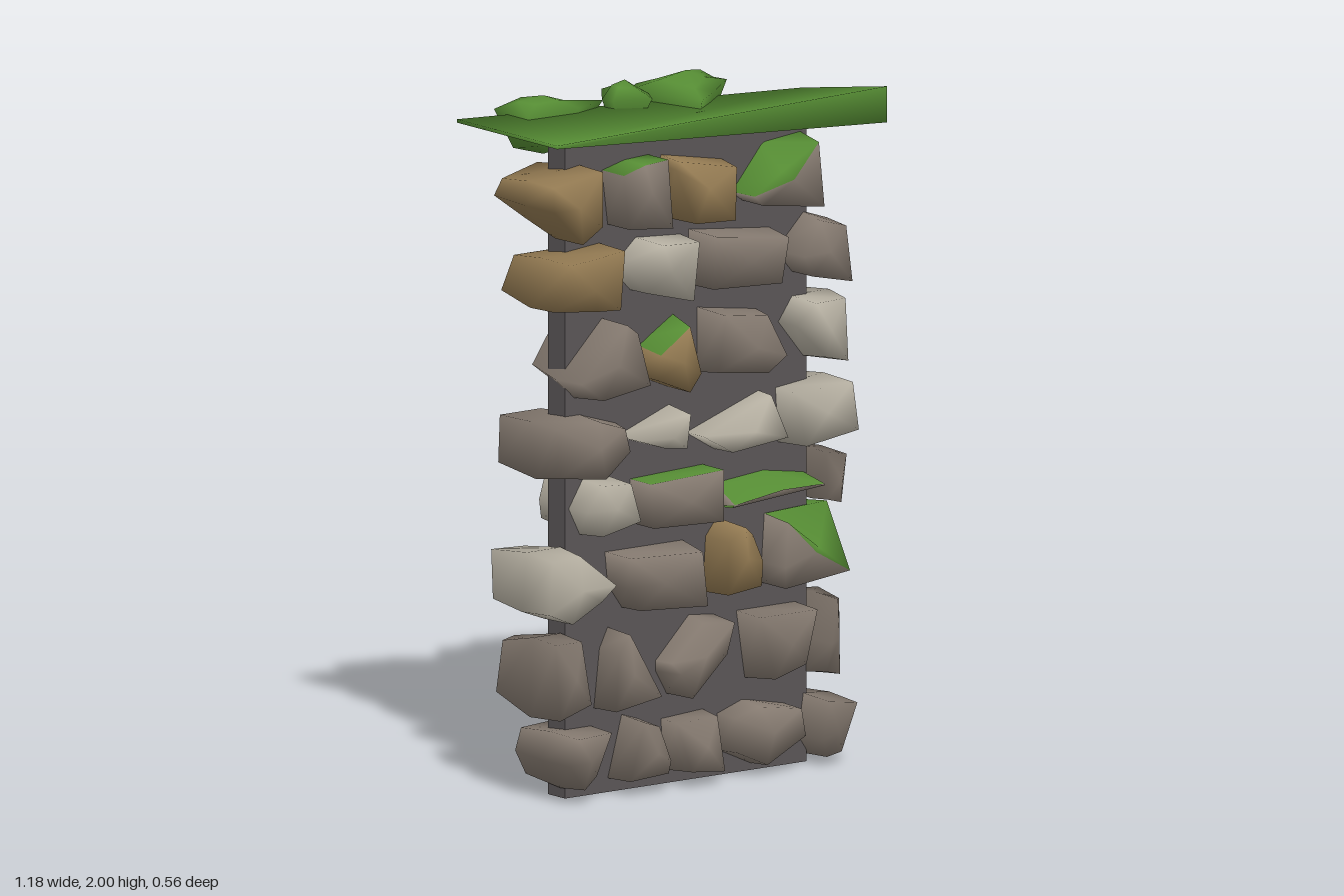
import * as THREE from 'three';
import { mergeVertices } from 'three/addons/utils/BufferGeometryUtils.js';

const mat = (name, color) => {
  const m = new THREE.MeshStandardMaterial({ color });
  m.name = name;
  return m;
};

export function createModel() {
  const group = new THREE.Group();
  const grey = mat('greyStone', 0x857a70);
  const light = mat('lightStone', 0xb5afa1);
  const brown = mat('brownStone', 0x937a52);
  const moss = mat('moss', 0x568d34);
  const mortar = mat('mortar', 0x5b5657);

  let seed = 7;
  const rand = () => (seed = (seed * 16807) % 2147483647) / 2147483647;
  const add = (geometry, material, name) => {
    const mesh = new THREE.Mesh(geometry, material);
    mesh.name = name;
    group.add(mesh);
    return mesh;
  };

  // Smooth rock lofted through three rings: jittered back, full middle, front
  function rockGeometry(flat, { depths = [-0.07, 0.1, 0.21], shrink = [0.76, 0.92], jitter = [0.24, 0.14], wobble = 0.07, front } = {}) {
    const toPoints = (a) => {
      const pts = [];
      for (let i = 0; i < a.length; i += 2) pts.push(new THREE.Vector2(a[i], a[i + 1]));
      return pts;
    };
    const outline = toPoints(flat);
    const frontLine = toPoints(front ?? flat);
    if (THREE.ShapeUtils.isClockWise(outline)) {
      outline.reverse();
      frontLine.reverse();
    }
    const n = outline.length;
    const c = outline.reduce((s, p) => s.add(p), new THREE.Vector2()).divideScalar(n);
    const pos = [], index = [];
    const ring = (pts, z, scale, j, dz) => pts.forEach((p) => {
      const s = scale + (rand() - 0.5) * j;
      pos.push(c.x + (p.x - c.x) * s, c.y + (p.y - c.y) * s, z + (rand() - 0.5) * dz);
    });
    ring(outline, depths[0], shrink[0], jitter[0], wobble);
    ring(outline, depths[1], 1, 0, 0);
    ring(frontLine, depths[2], front ? 1 : shrink[1], front ? 0 : jitter[1], front ? 0 : wobble);
    pos.push(c.x, c.y, depths[0] - 0.03, c.x, c.y, depths[2] + 0.02);
    for (let i = 0; i < n; i++) {
      const k = (i + 1) % n;
      for (const r of [0, n]) index.push(r + i, r + k, r + n + i, r + k, r + n + k, r + n + i);
      index.push(3 * n, k, i, 3 * n + 1, 2 * n + i, 2 * n + k);
    }
    const g = new THREE.BufferGeometry();
    g.setAttribute('position', new THREE.Float32BufferAttribute(pos, 3));
    g.setIndex(index);
    g.computeVertexNormals();
    return g;
  }

  // Second material on the faces that look up
  function mossyTop(g) {
    const p = g.attributes.position, idx = g.index;
    const t = new THREE.Triangle(), nrm = new THREE.Vector3();
    for (let i = 0; i < idx.count; i += 3) {
      t.setFromAttributeAndIndices(p, idx.getX(i), idx.getX(i + 1), idx.getX(i + 2)).getNormal(nrm);
      g.addGroup(i, 3, nrm.y > 0.36 ? 1 : 0);
    }
    return g;
  }

  const stone = (material, outline, opts = {}) => {
    const g = rockGeometry(outline, opts);
    return opts.mossy
      ? add(mossyTop(g), [material, moss], 'mossyStone')
      : add(g, material, 'stone');
  };

  // Mortar core, open underneath
  const core = new THREE.BoxGeometry(0.865, 1.9, 0.08);
  const kept = Array.from(core.index.array);
  kept.splice(18, 6);
  core.setIndex(kept);
  core.clearGroups();
  add(core, mortar, 'mortarCore').position.set(0, 0.95, 0.07);

  // Course 1 (top)
  stone(brown, [-.57, 1.74, -.56, 1.81, -.38, 1.835, -.36, 1.66, -.46, 1.63]);
  stone(grey, [-.3, 1.81, -.22, 1.83, -.135, 1.835, -.135, 1.64, -.28, 1.65],
    { mossy: true, shrink: [0.65, 1], jitter: [0.05, 0.04], wobble: 0.03, depths: [-0.08, 0.1, 0.215] });
  stone(brown, [-.1, 1.8, -.09, 1.83, .13, 1.79, .1, 1.62, -.06, 1.64]);
  stone(grey, [.16, 1.69, .27, 1.82, .41, 1.835, .445, 1.63, .2, 1.66],
    { mossy: true, front: [.17, 1.69, .27, 1.75, .4, 1.82, .42, 1.63, .2, 1.66] });
  // Course 2
  stone(brown, [-.55, 1.44, -.51, 1.58, -.31, 1.6, -.28, 1.41, -.4, 1.42]);
  stone(light, [-.27, 1.52, -.18, 1.6, -.02, 1.59, -.02, 1.4, -.2, 1.45]);
  stone(grey, [.01, 1.44, .01, 1.6, .3, 1.57, .28, 1.42]);
  stone(grey, [.32, 1.5, .42, 1.6, .51, 1.57, .51, 1.4, .38, 1.43]);
  // Course 3
  stone(grey, [-.46, 1.22, -.3, 1.38, -.26, 1.36, -.21, 1.19, -.4, 1.16]);
  stone(brown, [-.18, 1.2, -.17, 1.29, -.04, 1.37, -.02, 1.2, -.06, 1.15],
    { mossy: true, shrink: [0.6, 1], jitter: [0.04, 0], depths: [-0.09, 0.06, 0.21],
      front: [-.18, 1.2, -.165, 1.27, -.06, 1.34, -.02, 1.2, -.06, 1.15] });
  stone(grey, [.04, 1.18, .04, 1.37, .25, 1.34, .33, 1.2, .2, 1.17]);
  stone(light, [.33, 1.29, .38, 1.36, .52, 1.36, .51, 1.16, .42, 1.18]);
  // Course 4
  stone(grey, [-.55, 1.11, -.38, 1.11, -.25, 1.07, -.26, 1, -.38, .94, -.53, .94]);
  stone(light, [-.25, 1.03, -.06, 1.1, -.05, .98, -.16, 1]);
  stone(light, [0, 1.01, .26, 1.1, .28, .98, .1, .95]);
  stone(light, [.32, 1.1, .5, 1.12, .53, .97, .33, .94]);
  // Course 5
  stone(light, [-.42, .84, -.37, .92, -.28, .92, -.22, .79, -.38, .76]);
  stone(grey, [-.2, .9, .06, .91, .06, .76, -.19, .77],
    { mossy: true, front: [-.2, .9, .06, .91, .06, .76, -.19, .77] });
  stone(grey, [.09, .785, .1, .855, .26, .87, .42, .845, .42, .8],
    { mossy: true, front: [.09, .795, .1, .802, .26, .808, .42, .825, .42, .82] });
  stone(grey, [.45, .91, .49, .91, .48, .76, .455, .76]);
  // Course 6
  stone(light, [-.58, .56, -.56, .73, -.44, .73, -.31, .62, -.35, .57, -.5, .53]);
  stone(grey, [-.29, .7, -.01, .7, 0, .52, -.23, .53, -.28, .6]);
  stone(brown, [.07, .7, .11, .75, .17, .71, .22, .62, .18, .55, .06, .54]);
  stone(grey, [.27, .6, .28, .74, .5, .75, .505, .56, .27, .54],
    { mossy: true, shrink: [0.8, 1], jitter: [0.05, 0], depths: [-0.07, 0.115, 0.225],
      front: [.27, .6, .28, .73, .39, .645, .5, .565, .27, .54] });
  // Course 7
  stone(grey, [-.55, .25, -.54, .48, -.44, .48, -.39, .27]);
  stone(grey, [-.33, .25, -.31, .42, -.28, .48, -.17, .28]);
  stone(grey, [-.11, .33, -.11, .36, .01, .48, .1, .47, .09, .37, -.07, .26]);
  stone(grey, [.18, .47, .39, .47, .39, .29, .21, .27]);
  stone(grey, [.43, .36, .46, .49, .48, .5, .49, .25, .43, .26]);
  // Course 8 (ground)
  stone(grey, [-.51, .12, -.48, .2, -.34, .2, -.36, .06, -.44, .03]);
  stone(grey, [-.28, .04, -.23, .22, -.17, .2, -.11, .08, -.14, .05]);
  stone(grey, [-.09, .19, .06, .2, .07, .03, -.08, .04]);
  stone(grey, [.11, .18, .2, .21, .35, .18, .36, .1, .23, .02, .12, .07]);
  stone(grey, [.42, .2, .52, .19, .51, .02, .44, .02, .4, .08]);

  // Loose chip behind the base, pointing backwards
  const chip = add(new THREE.ConeGeometry(0.03, 0.11, 3), brown, 'looseChip');
  chip.rotation.x = -Math.PI / 2;
  chip.scale.x = 1.8;
  chip.position.set(0.22, 0.04, -0.15);

  // Mossy cap: a slab that thins to an edge on the right, rounded by its shading
  const box = new THREE.BoxGeometry(1.18, 1, 0.47);
  box.deleteAttribute('normal');
  box.deleteAttribute('uv');
  const cap = mergeVertices(box);
  cap.computeVertexNormals();
  const p = cap.attributes.position;
  for (let i = 0; i < p.count; i++) {
    const top = p.getY(i) > 0, wide = p.getX(i) > 0, back = p.getZ(i) < 0;
    const y = wide ? (top ? (back ? 1.9 : 1.97) : 1.865) : (top ? 1.945 : 1.935);
    const z = back ? (wide && top ? -0.12 : -0.19) : 0.28;
    p.setXYZ(i, p.getX(i), y, z);
  }
  add(cap, moss, 'mossCap');

  // Moss clumps hanging over the back; outlines are in plan
  const clump = (outline, low, mid, high) => {
    const g = rockGeometry(outline, { depths: [low, mid, high], shrink: [0.6, 0.5], jitter: [0.15, 0.15], wobble: 0.03 });
    add(g, moss, 'mossClump').rotation.x = -Math.PI / 2;
  };
  clump([-.42, .24, -.4, .25, -.2, .22, -.1, .15, -.22, .1, -.42, .08], 1.84, 1.945, 1.96);
  clump([-.11, .14, -.02, .26, .05, .22, .05, .13, .01, .06, -.1, .1], 1.86, 1.95, 1.975);
  clump([.04, .22, .12, .28, .35, .22, .36, .17, .22, .05, .12, -.03], 1.83, 1.945, 1.975);

  return group;
}
